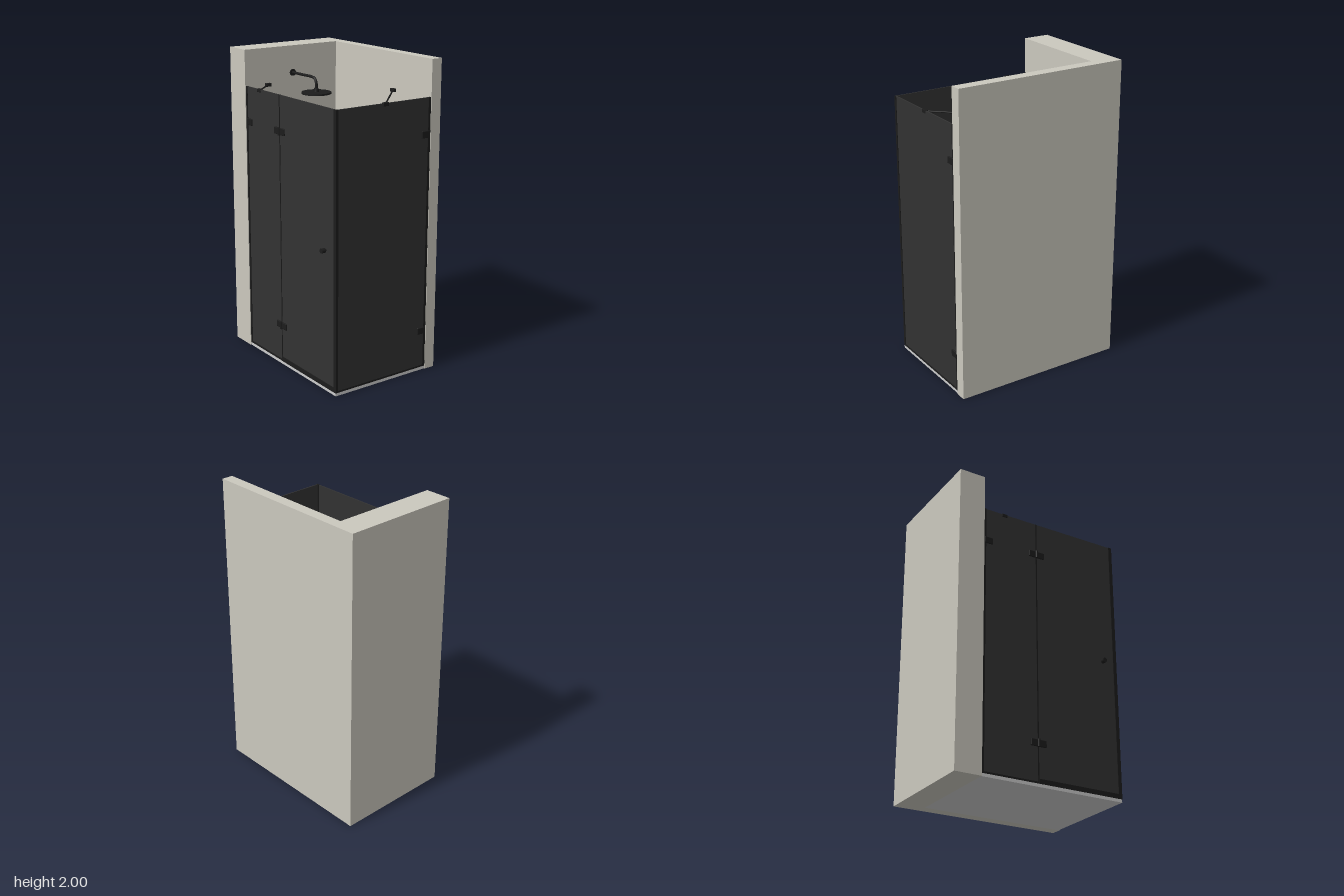
import * as THREE from 'three';
import { RoundedBoxGeometry } from 'three/addons/geometries/RoundedBoxGeometry.js';

const mat = (color) => new THREE.MeshStandardMaterial({ color });

export function createModel() {
  const model = new THREE.Group();
  const stone = mat(0xcbc8be), grey = mat(0xcccccc), glass = mat(0x323232), black = mat(0x1c1c1c);

  const add = (name, geometry, material, x = 0, y = 0, z = 0) => {
    const mesh = new THREE.Mesh(geometry, material);
    mesh.name = name;
    mesh.position.set(x, y, z);
    model.add(mesh);
    return mesh;
  };
  // Box given by its limits on each axis
  const box = (name, material, [x0, x1], [y0, y1], [z0, z1]) =>
    add(name, new THREE.BoxGeometry(x1 - x0, y1 - y0, z1 - z0), material,
      (x0 + x1) / 2, (y0 + y1) / 2, (z0 + z1) / 2);
  const v = (p) => new THREE.Vector3(...p);
  // Straight round bar between two points
  const bar = (name, a, b, r, r2 = r, sides = 20) => {
    const d = v(b).sub(v(a));
    const mesh = add(name, new THREE.CylinderGeometry(r2, r, d.length(), sides), black);
    mesh.position.copy(v(a)).addScaledVector(d, 0.5);
    mesh.quaternion.setFromUnitVectors(new THREE.Vector3(0, 1, 0), d.normalize());
  };
  const tube = (name, points, r, segments = 60) =>
    add(name, new THREE.TubeGeometry(new THREE.CatmullRomCurve3(points.map(v)), segments, r, 12), black);
  const outlineOf = (points) => points.map((p) => new THREE.Vector2(...p));
  // Flat shape laid on the ground and raised to a height
  const raise = (shape, depth, steps = 1) => new THREE.ExtrudeGeometry(shape,
    { depth, steps, bevelEnabled: false, curveSegments: 24 }).rotateX(-Math.PI / 2);

  // L-shaped wall
  const plan = new THREE.Shape(outlineOf([[-0.58, -0.375], [-0.403, -0.375], [-0.403, 0.332],
    [0.578, 0.332], [0.578, 0.405], [-0.58, 0.405]]));
  add('walls', raise(plan, 2), stone);

  // Shower tray with a raised rim
  box('trayFloor', grey, [-0.403, 0.572], [0, 0.01], [-0.332, 0.37]);
  const rim = new THREE.Shape(outlineOf([[-0.403, -0.37], [0.572, -0.37], [0.572, 0.332], [-0.403, 0.332]]));
  rim.holes.push(new THREE.Path(outlineOf([[-0.38, -0.345], [0.55, -0.345], [0.55, 0.31], [-0.38, 0.31]])));
  add('trayRim', raise(rim, 0.01), grey, 0, 0.01, 0);

  // Glass panels
  box('fixedPanel', glass, [-0.4, -0.023], [0.02, 1.77], [0.359, 0.367]);
  box('door', glass, [-0.019, 0.562], [0.03, 1.77], [0.359, 0.367]);
  box('sidePanel', glass, [0.562, 0.57], [0.02, 1.77], [-0.332, 0.367]);

  // Seals, channels and bottom rails
  box('wallChannel', black, [-0.403, -0.388], [0.02, 1.77], [0.355, 0.371]);
  box('sideWallChannel', black, [0.558, 0.574], [0.02, 1.77], [-0.332, -0.315]);
  box('cornerSeal', black, [0.55, 0.574], [0.02, 1.77], [0.354, 0.371]);
  box('hingeSeal', black, [-0.025, -0.017], [0.02, 1.77], [0.358, 0.369]);
  box('fixedBottomRail', black, [-0.403, -0.02], [0.02, 0.032], [0.356, 0.37]);
  box('doorDripRail', black, [-0.02, 0.56], [0.02, 0.05], [0.352, 0.372]);
  box('sideBottomRail', black, [0.559, 0.573], [0.02, 0.032], [-0.332, 0.367]);

  // Hinges and brackets
  const clamp = (name, x, y, z, w, d) =>
    add(name, new RoundedBoxGeometry(w, 0.044, d, 2, 0.004), black, x, y, z);
  for (const y of [0.27, 1.545]) {
    clamp('doorHinge', -0.02, y, 0.363, 0.11, 0.024);
    bar('hingePin', [-0.02, y - 0.024, 0.375], [-0.02, y + 0.024, 0.375], 0.009);
    clamp('sideBracket', 0.567, y, -0.298, 0.022, 0.06);
  }
  clamp('wallBracket', -0.369, 1.545, 0.363, 0.06, 0.022);
  box('wallBracketPlate', black, [-0.403, -0.396], [1.523, 1.567], [0.31, 0.363]);

  // Door knobs on both faces
  bar('knobSpindle', [0.465, 0.91, 0.335], [0.465, 0.91, 0.39], 0.007);
  bar('outerKnob', [0.465, 0.91, 0.375], [0.465, 0.91, 0.402], 0.015);
  bar('innerKnob', [0.465, 0.91, 0.323], [0.465, 0.91, 0.35], 0.015);

  // Stabiliser bars bracing the glass to the walls
  const brace = (wall, panel) => {
    bar('stabiliserBar', wall, panel, 0.005);
    for (const p of [wall, panel]) {
      const [w, d] = Math.abs(p[2]) > 0.3 ? [0.04, 0.02] : [0.02, 0.04];
      add('stabiliserClamp', new RoundedBoxGeometry(w, 0.022, d, 2, 0.003), black, ...p);
    }
  };
  brace([0.22, 1.763, -0.323], [0.562, 1.763, 0.008]);
  brace([-0.394, 1.763, 0.21], [-0.252, 1.763, 0.361]);

  // Overhead shower
  tube('overheadArm', [[-0.403, 1.825, 0.015], [-0.3, 1.825, 0.015], [-0.18, 1.825, 0.015],
    [-0.15, 1.818, 0.015], [-0.134, 1.795, 0.015], [-0.132, 1.74, 0.015]], 0.009);
  bar('overheadFlange', [-0.403, 1.825, 0.015], [-0.395, 1.825, 0.015], 0.022);
  bar('overheadJoint', [-0.132, 1.735, 0.015], [-0.132, 1.76, 0.015], 0.018, 0.014);
  bar('overheadDisc', [-0.132, 1.725, 0.015], [-0.132, 1.736, 0.015], 0.095, 0.095, 48);

  // Hand shower on its rail
  bar('slideRail', [-0.03, 0.95, -0.295], [-0.03, 1.56, -0.295], 0.009);
  for (const y of [0.97, 1.54]) bar('railMount', [-0.03, y, -0.332], [-0.03, y, -0.287], 0.014);
  bar('handHolder', [-0.055, 1.42, -0.295], [0.0, 1.42, -0.295], 0.015);
  bar('holderArm', [-0.01, 1.42, -0.295], [0.06, 1.42, -0.255], 0.01);
  bar('handHandle', [0.02, 1.32, -0.28], [0.08, 1.475, -0.24], 0.008, 0.011);
  bar('handHead', [0.083, 1.482, -0.236], [0.087, 1.465, -0.218], 0.022, 0.038);

  // Mixer valve and hose
  bar('mixerBody', [-0.06, 0.96, -0.295], [0.06, 0.96, -0.295], 0.016);
  bar('mixerLever', [0.05, 0.96, -0.295], [0.088, 0.965, -0.288], 0.013, 0.006);
  add('controlPlate', new RoundedBoxGeometry(0.036, 0.09, 0.06, 2, 0.005), black, -0.192, 0.96, -0.302);
  tube('hose', [[-0.185, 0.93, -0.31], [-0.13, 0.72, -0.295], [-0.04, 0.6, -0.265], [0.04, 0.68, -0.245],
    [0.075, 0.9, -0.248], [0.07, 1.1, -0.27], [0.035, 1.25, -0.278], [0.02, 1.32, -0.28]], 0.006, 80);

  // Toilet bowl and lid: a U outline, the bowl narrowing towards the floor
  const outline = new THREE.Shape();
  outline.moveTo(-0.156, 0.21);
  outline.lineTo(-0.158, -0.08);
  outline.bezierCurveTo(-0.15, -0.258, 0.15, -0.258, 0.158, -0.08);
  outline.lineTo(0.156, 0.21);
  const bowl = raise(outline, 0.35, 10);
  const p = bowl.attributes.position;
  for (let i = 0; i < p.count; i++) {
    const t = THREE.MathUtils.clamp(p.getY(i) / 0.35, 0, 1);
    const s = 0.62 + 0.36 * Math.pow(t, 1.6);
    p.setX(i, p.getX(i) * s);
    p.setZ(i, -0.21 + (p.getZ(i) + 0.21) * s);
  }
  bowl.computeVertexNormals();
  add('toiletBowl', bowl, grey, 0.32, 0.01, 0);
  add('toiletLid', raise(outline, 0.025), grey, 0.32, 0.36, 0);
  box('toiletHinge', grey, [0.165, 0.477], [0.3, 0.38], [-0.235, -0.21]);
  box('toiletBack', grey, [0.2, 0.44], [0.01, 0.36], [-0.332, -0.205]);
  box('toiletTank', grey, [0.165, 0.48], [0.36, 0.7], [-0.332, -0.235]);
  add('flushButton', new THREE.SphereGeometry(0.014, 20, 10, 0, Math.PI * 2, 0, Math.PI / 2),
    grey, 0.32, 0.7, -0.285);

  return model;
}
